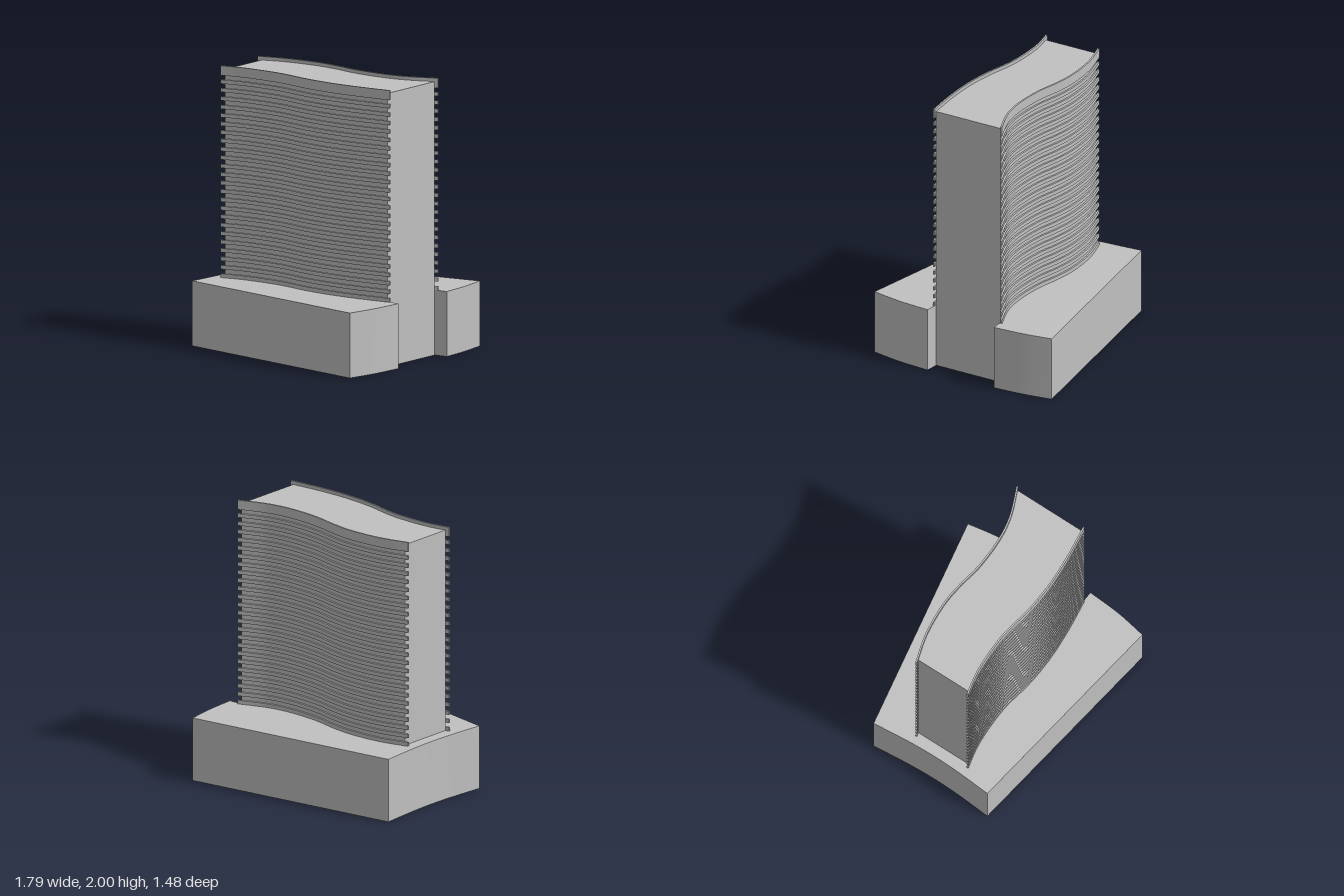
import * as THREE from 'three';
import { toCreasedNormals } from 'three/addons/utils/BufferGeometryUtils.js';

const PODIUM_TOP = 0.47, ROOF = 1.975, TOP = 2;
const SLATS = 24, PITCH = 0.0609, SLAT_HEIGHT = 0.028, SLAT_DEPTH = 0.013;

// Plan points are (x, z) pairs
const plan = (pairs) => pairs.map(([x, z]) => new THREE.Vector2(x, z));
const curve = (pairs) => new THREE.SplineCurve(plan(pairs));

// Sample a plan curve between two fractions of its length
function sample(c, from, to, n) {
  return Array.from({ length: n + 1 }, (_, i) => c.getPointAt(from + (to - from) * i / n));
}

// Flat shape and its extrusion, laid down so the plan lies in x, z
const toShape = (pts) => new THREE.Shape(pts.map((p) => new THREE.Vector2(p.x, -p.y)));
function flat(pts, y) {
  return new THREE.ShapeGeometry(toShape(pts)).rotateX(-Math.PI / 2).translate(0, y, 0);
}
function slab(pts, height) {
  const g = new THREE.ExtrudeGeometry(toShape(pts), { depth: height, bevelEnabled: false });
  return toCreasedNormals(g.rotateX(-Math.PI / 2), 0.5);
}

// Upright wall along a plan path, facing the right-hand side of travel
function wall(pts, y0, y1) {
  const pos = [];
  for (let i = 0; i < pts.length - 1; i++) {
    const a = pts[i], b = pts[i + 1];
    pos.push(a.x, y0, a.y, b.x, y0, b.y, b.x, y1, b.y);
    pos.push(a.x, y0, a.y, b.x, y1, b.y, a.x, y1, a.y);
  }
  const g = new THREE.BufferGeometry();
  g.setAttribute('position', new THREE.Float32BufferAttribute(pos, 3));
  g.computeVertexNormals();
  return toCreasedNormals(g, 0.5);
}

// Strip of even depth on the outer side of a facade curve
function strip(c, side) {
  const n = 32, inner = sample(c, 0, 1, n);
  const outer = inner.map((p, i) => {
    const t = c.getTangentAt(i / n);
    return new THREE.Vector2(p.x - t.y * SLAT_DEPTH * side, p.y + t.x * SLAT_DEPTH * side);
  });
  return [...inner, ...outer.reverse()];
}

export function createModel() {
  const model = new THREE.Group();
  model.name = 'towerOnPodium';
  const grey = new THREE.MeshStandardMaterial({ color: 0xc0c0c0, side: THREE.DoubleSide });
  grey.name = 'light grey';
  const add = (parent, name, geometry) => {
    const mesh = new THREE.Mesh(geometry, grey);
    mesh.name = name;
    parent.add(mesh);
    return mesh;
  };
  const group = (name) => {
    const g = new THREE.Group();
    g.name = name;
    model.add(g);
    return g;
  };

  // Waving facade lines, left to right in plan
  const front = curve([[-0.695, 0.497], [-0.5, 0.428], [-0.21, 0.382], [0.07, 0.386],
    [0.31, 0.366], [0.55, 0.318], [0.79, 0.252]]);
  const rear = curve([[-0.76, 0.08], [-0.55, -0.015], [-0.31, -0.074], [-0.12, -0.087],
    [0.07, -0.083], [0.31, -0.113], [0.505, -0.175], [0.705, -0.292]]);
  const frontWall = sample(front, 0.02, 0.985, 32);
  const rearWall = sample(rear, 0.985, 0.02, 32);
  const outline = [...frontWall, ...rearWall];

  // Tower: hollow shell with a sunken roof, open below
  const tower = group('tower');
  add(tower, 'towerWalls', wall([...outline, frontWall[0]], 0, ROOF));
  add(tower, 'towerRoof', flat(outline, ROOF));

  // Slats and parapet on both facades
  for (const [name, c, side] of [['front', front, 1], ['rear', rear, -1]]) {
    const facade = group(name + 'Facade');
    const pts = strip(c, side);
    const slat = slab(pts, SLAT_HEIGHT);
    for (let i = 0; i < SLATS; i++) {
      add(facade, name + 'Slat', slat).position.y = PODIUM_TOP + i * PITCH;
    }
    add(facade, name + 'Parapet', slab(pts, 0.07)).position.y = TOP - 0.07;
  }

  // Podium: wraps three sides of the tower, notched on the left end, open below
  const leftFront = sample(curve([[0.885, 0.737], [0.89, 0.5], [0.87, 0.25]]), 0, 1, 10);
  const leftBack = sample(curve([[0.787, -0.303], [0.735, -0.525], [0.665, -0.74]]), 0, 1, 10);
  const right = sample(curve([[-0.895, -0.215], [-0.815, 0.12], [-0.768, 0.41], [-0.74, 0.737]]), 0, 1, 16);
  const frontCorner = frontWall[frontWall.length - 1], rearCorner = rearWall[0];
  const podium = group('podium');
  add(podium, 'podiumFrontWall', wall([right[right.length - 1], ...leftFront, frontCorner], 0, PODIUM_TOP));
  add(podium, 'podiumRearWall', wall([rearCorner, ...leftBack, ...right], 0, PODIUM_TOP));
  add(podium, 'podiumTop', flat([...leftFront, ...[...frontWall].reverse(),
    ...[...rearWall].reverse(), ...leftBack, ...right], PODIUM_TOP));

  return model;
}
